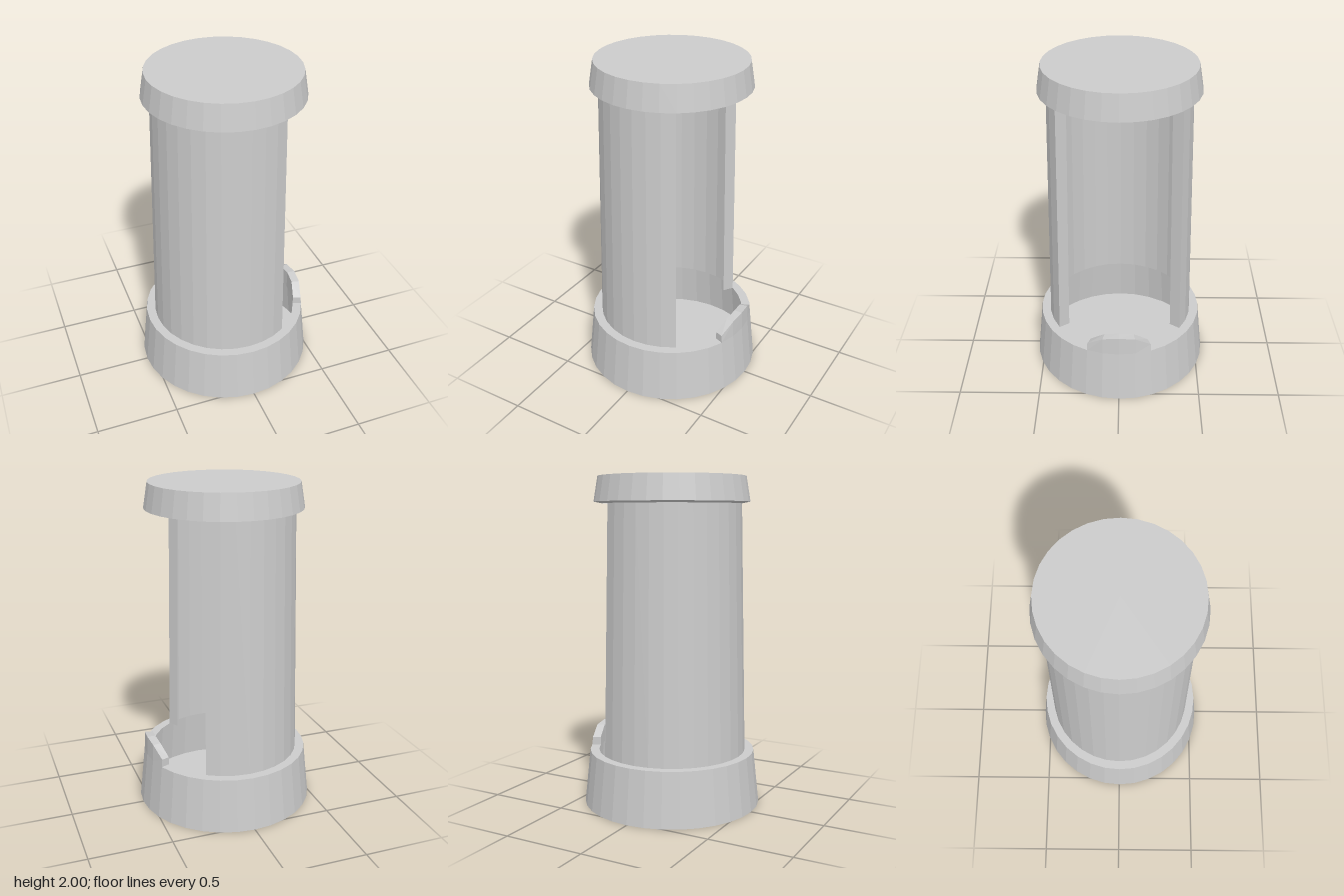
import * as THREE from 'three';

const SIDES = 32;
const STEP = (Math.PI * 2) / SIDES;
const material = new THREE.MeshStandardMaterial({
  color: 0xcccccc, flatShading: true, side: THREE.DoubleSide,
});

function part(name, geometry) {
  const mesh = new THREE.Mesh(geometry, material);
  mesh.name = name;
  return mesh;
}

const profile = (points) => points.map(([r, y]) => new THREE.Vector2(r, y));

// Low raised tab: four-corner sections swept along the rim
function tabGeometry() {
  const heights = [0.378, 0.436, 0.448, 0.436, 0.378];
  const positions = [];
  const index = [];
  heights.forEach((top, i) => {
    const a = (i - 2) * STEP;
    for (const [r, y] of [[0.51, 0.33], [0.505, top], [0.455, top], [0.455, 0.33]]) {
      positions.push(r * Math.cos(a), y, r * Math.sin(a));
    }
  });
  for (let i = 0; i < heights.length - 1; i++) {
    for (let k = 0; k < 4; k++) {
      const a = i * 4 + k, b = i * 4 + ((k + 1) % 4);
      index.push(a, b, a + 4, b, b + 4, a + 4);
    }
  }
  const e = (heights.length - 1) * 4;
  index.push(0, 2, 1, 0, 3, 2, e, e + 1, e + 2, e, e + 2, e + 3);
  const geometry = new THREE.BufferGeometry();
  geometry.setAttribute('position', new THREE.Float32BufferAttribute(positions, 3));
  geometry.setIndex(index);
  geometry.computeVertexNormals();
  return geometry;
}

export function createModel() {
  const model = new THREE.Group();
  model.name = 'openCanister';

  // Hollow base with a floor and a flat rim
  model.add(part('base', new THREE.LatheGeometry(
    profile([[0, 0], [0.545, 0], [0.51, 0.33], [0.455, 0.33]]), SIDES)));

  // Tapered body, open towards +x
  const gap = 5 * STEP;
  model.add(part('body', new THREE.LatheGeometry(
    profile([[0.455, 0.33], [0.42, 1.84]]), SIDES - 10, Math.PI / 2 + gap, 22 * STEP)));

  // Flat strips turned inward along both edges of the opening
  const strip = new THREE.ShapeGeometry(new THREE.Shape(
    profile([[0.385, 0.33], [0.455, 0.33], [0.42, 1.84], [0.35, 1.84]])));
  for (const side of [-1, 1]) {
    const edge = part(side > 0 ? 'backOpeningEdge' : 'frontOpeningEdge', strip);
    edge.rotation.y = side * gap;
    model.add(edge);
  }

  // Hollow lid flaring downward
  model.add(part('lid', new THREE.LatheGeometry(
    profile([[0.42, 1.84], [0.47, 1.85], [0.445, 2], [0, 2]]), SIDES)));

  model.add(part('rimTab', tabGeometry()));
  return model;
}
